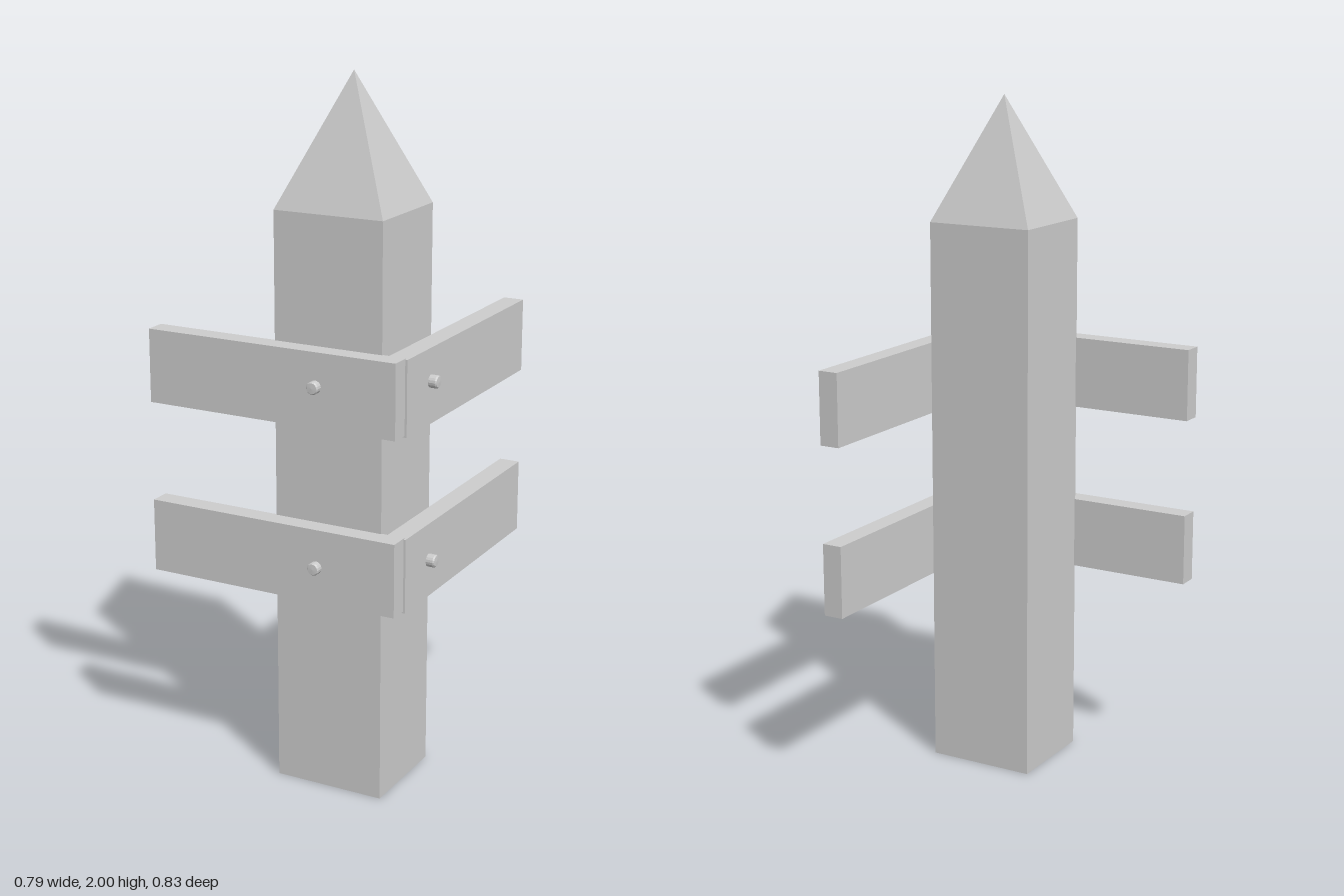
import * as THREE from 'three';

export function createModel() {
  const model = new THREE.Group();
  model.name = 'fencePost';
  const grey = new THREE.MeshStandardMaterial({ color: 0xcccccc });
  grey.name = 'light grey';
  grey.flatShading = true;

  const add = (name, geometry) => {
    const mesh = new THREE.Mesh(geometry, grey);
    mesh.name = name;
    model.add(mesh);
    return mesh;
  };

  // Box given by its two opposite corners
  const block = (name, [x0, y0, z0], [x1, y1, z1]) =>
    add(name, new THREE.BoxGeometry(x1 - x0, y1 - y0, z1 - z0))
      .position.set((x0 + x1) / 2, (y0 + y1) / 2, (z0 + z1) / 2);

  // Square post with a pointed top
  const shaft = 1.64;
  block('post', [-0.03, 0, 0.045], [0.294, shaft, 0.337]);
  const point = new THREE.ConeGeometry(Math.SQRT1_2, 2 - shaft, 4, 1, true);
  point.rotateY(Math.PI / 4).scale(0.324, 1, 0.292);
  add('postPoint', point).position.set(0.132, (2 + shaft) / 2, 0.191);

  // Bolt along +y with a slightly bevelled head
  const bolt = new THREE.LatheGeometry(
    [[0.018, 0], [0.018, 0.038], [0.015, 0.042], [0, 0.043]].map(p => new THREE.Vector2(...p)), 16);

  // Two levels of rails, one to the front and one to the side
  for (const [level, y] of [['lower', 0.578], ['upper', 1.075]]) {
    block(level + 'FrontRail', [-0.397, y, 0.333], [0.362, y + 0.21, 0.393]);
    block(level + 'SideRail', [0.308, y - 0.005, -0.415], [0.368, y + 0.207, 0.338]);

    const boltY = y + (level === 'lower' ? 0.102 : 0.115);
    const front = add(level + 'FrontBolt', bolt);
    front.rotation.x = Math.PI / 2;
    front.position.set(0.124, boltY, 0.371);
    const side = add(level + 'SideBolt', bolt);
    side.rotation.z = -Math.PI / 2;
    side.position.set(0.35, boltY, 0.196);
  }
  return model;
}
